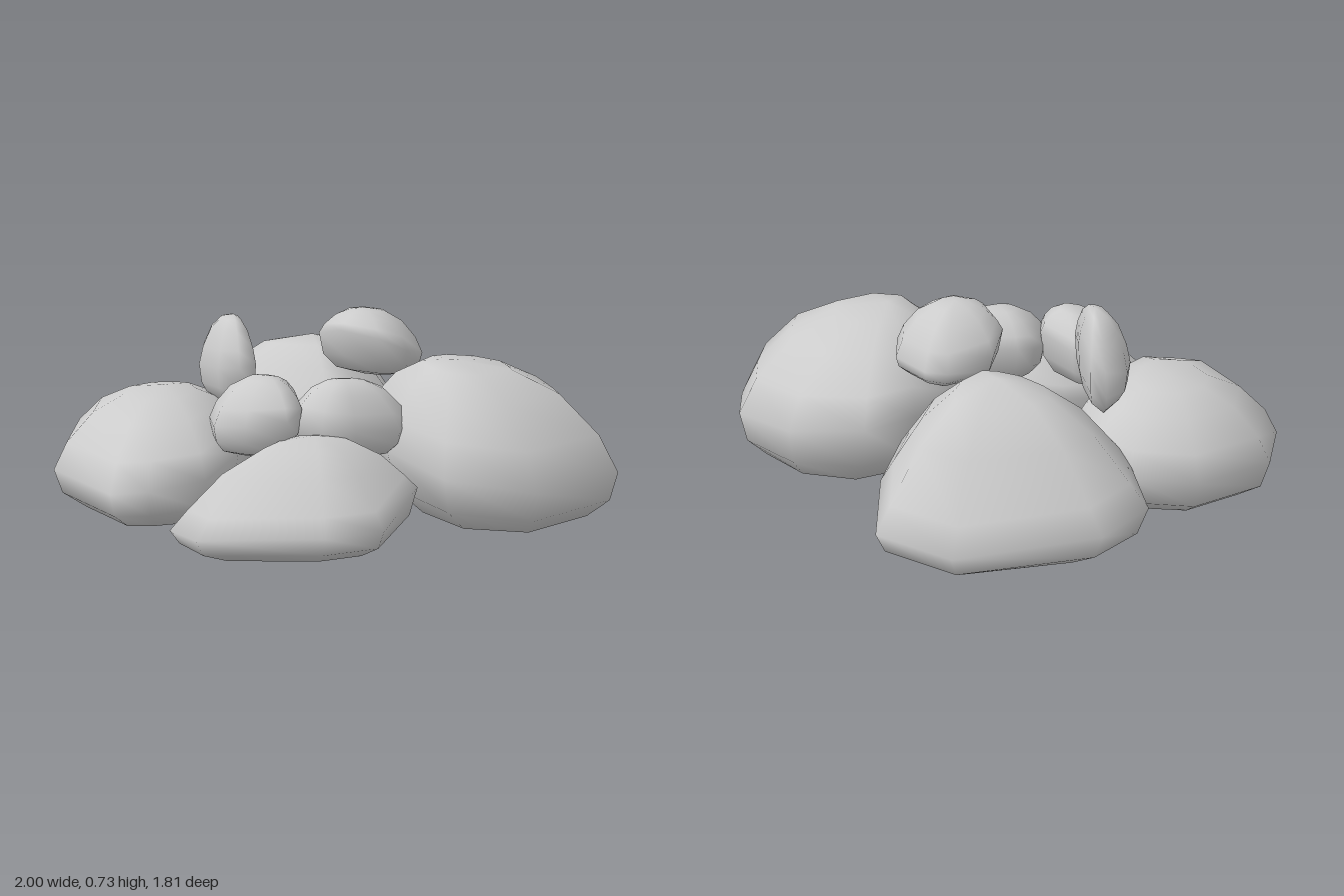
import * as THREE from 'three';

// Cross-section rules: [outline scale, height fraction] away from the rim
const LOWER = [[0.4, 0.96], [0.72, 0.83], [0.93, 0.5]];
const UPPER = [[0.88, 0.35], [0.64, 0.72], [0.35, 0.93]];

// A stone: rim points [x, y, z] clockwise from above, closed by a low and a high point.
// A larger slope gives straighter upper sides.
function stoneGeometry({ rim, peak, base, slope = 1 }) {
  const n = rim.length;
  const pos = [], index = [];
  const ring = (pole, k, h) => rim.forEach(([x, y, z]) => pos.push(
    pole[0] + (x - pole[0]) * k,
    y + (pole[1] - y) * h,
    pole[2] + (z - pole[2]) * k));

  LOWER.forEach(([k, h]) => ring(base, k, h));
  ring(peak, 1, 0);
  UPPER.forEach(([k, h]) => ring(peak, k, h ** slope));
  const rings = LOWER.length + 1 + UPPER.length;
  const low = rings * n, high = low + 1;
  pos.push(...base, ...peak);

  for (let i = 0; i < n; i++) {
    const j = (i + 1) % n;
    index.push(low, i, j);
    for (let r = 0; r < rings - 1; r++) {
      const a = r * n + i, b = r * n + j;
      index.push(a, a + n, b + n, a, b + n, b);
    }
    const last = (rings - 1) * n;
    index.push(high, last + j, last + i);
  }
  const geo = new THREE.BufferGeometry();
  geo.setAttribute('position', new THREE.Float32BufferAttribute(pos, 3));
  geo.setIndex(index);
  geo.computeVertexNormals();
  return geo;
}

const STONES = {
  // Four large stones on the ground
  largeStoneLeft: {
    rim: [[0.04, 0.33, -0.42], [0.13, 0.31, -0.59], [0.4, 0.27, -0.69], [0.72, 0.23, -0.62],
      [0.9, 0.2, -0.43], [1, 0.21, -0.28], [0.86, 0.21, 0.13], [0.57, 0.25, 0.25],
      [0.28, 0.29, 0.11], [0.05, 0.33, -0.15]],
    peak: [0.42, 0.59, -0.13], base: [0.6, 0, -0.27],
  },
  largeStoneBack: {
    rim: [[-0.86, 0.2, -0.29], [-0.83, 0.17, -0.51], [-0.51, 0.14, -0.89], [-0.2, 0.14, -0.91],
      [-0.02, 0.2, -0.68], [0.04, 0.27, -0.5], [0.02, 0.33, -0.22], [-0.1, 0.34, -0.15],
      [-0.35, 0.32, -0.09], [-0.65, 0.27, -0.12]],
    peak: [-0.32, 0.57, -0.42], base: [-0.36, 0, -0.45], slope: 1.5,
  },
  largeStoneRight: {
    rim: [[-1, 0.21, 0.25], [-0.9, 0.21, -0.05], [-0.7, 0.22, -0.18], [-0.53, 0.24, -0.18],
      [-0.32, 0.26, 0.02], [-0.22, 0.26, 0.3], [-0.2, 0.22, 0.55], [-0.35, 0.19, 0.68],
      [-0.47, 0.18, 0.74], [-0.85, 0.18, 0.55]],
    peak: [-0.6, 0.455, 0.2], base: [-0.52, 0.005, 0.3],
  },
  largeStoneFront: {
    rim: [[-0.2, 0.1, 0.78], [-0.18, 0.16, 0.5], [-0.1, 0.2, 0.28], [0.1, 0.22, 0.15],
      [0.33, 0.22, 0.15], [0.45, 0.2, 0.21], [0.49, 0.13, 0.54], [0.36, 0.13, 0.71],
      [-0.02, 0.12, 0.9]],
    peak: [0.14, 0.385, 0.38], base: [0.14, 0.005, 0.45], slope: 1.4,
  },
  // Four small stones resting on top
  smallStoneBack: {
    rim: [[-0.21, 0.58, -0.3], [-0.14, 0.55, -0.46], [-0.05, 0.54, -0.475], [0.12, 0.54, -0.43],
      [0.2, 0.56, -0.33], [0.2, 0.59, -0.2], [0.13, 0.64, -0.11], [-0.02, 0.66, -0.1],
      [-0.15, 0.63, -0.17]],
    peak: [0, 0.725, -0.25], base: [0.02, 0.47, -0.33],
  },
  smallStoneRight: {
    rim: [[-0.59, 0.48, -0.16], [-0.5, 0.54, -0.13], [-0.36, 0.58, -0.01], [-0.25, 0.55, 0.12],
      [-0.29, 0.54, 0.17], [-0.38, 0.53, 0.17], [-0.52, 0.52, 0.08], [-0.57, 0.52, -0.01]],
    peak: [-0.4, 0.71, 0.03], base: [-0.42, 0.38, 0.02],
  },
  smallStoneFrontRight: {
    rim: [[-0.32, 0.41, 0.21], [-0.2, 0.45, 0.175], [-0.02, 0.47, 0.22], [0.06, 0.46, 0.33],
      [0.06, 0.43, 0.43], [-0.08, 0.41, 0.48], [-0.22, 0.39, 0.46], [-0.32, 0.39, 0.33]],
    peak: [-0.09, 0.56, 0.31], base: [-0.16, 0.28, 0.34],
  },
  smallStoneFrontLeft: {
    rim: [[-0.03, 0.42, 0.17], [0, 0.43, 0.11], [0.15, 0.43, 0], [0.27, 0.41, -0.01],
      [0.33, 0.39, 0.04], [0.34, 0.37, 0.13], [0.25, 0.39, 0.29], [0.15, 0.41, 0.35],
      [0.03, 0.42, 0.33], [-0.03, 0.42, 0.23]],
    peak: [0.14, 0.548, 0.18], base: [0.17, 0.27, 0.17],
  },
};

export function createModel() {
  const group = new THREE.Group();
  group.name = 'stoneRing';
  const material = new THREE.MeshStandardMaterial({ color: 0xcccccc });
  for (const [name, spec] of Object.entries(STONES)) {
    const mesh = new THREE.Mesh(stoneGeometry(spec), material);
    mesh.name = name;
    group.add(mesh);
  }
  return group;
}
